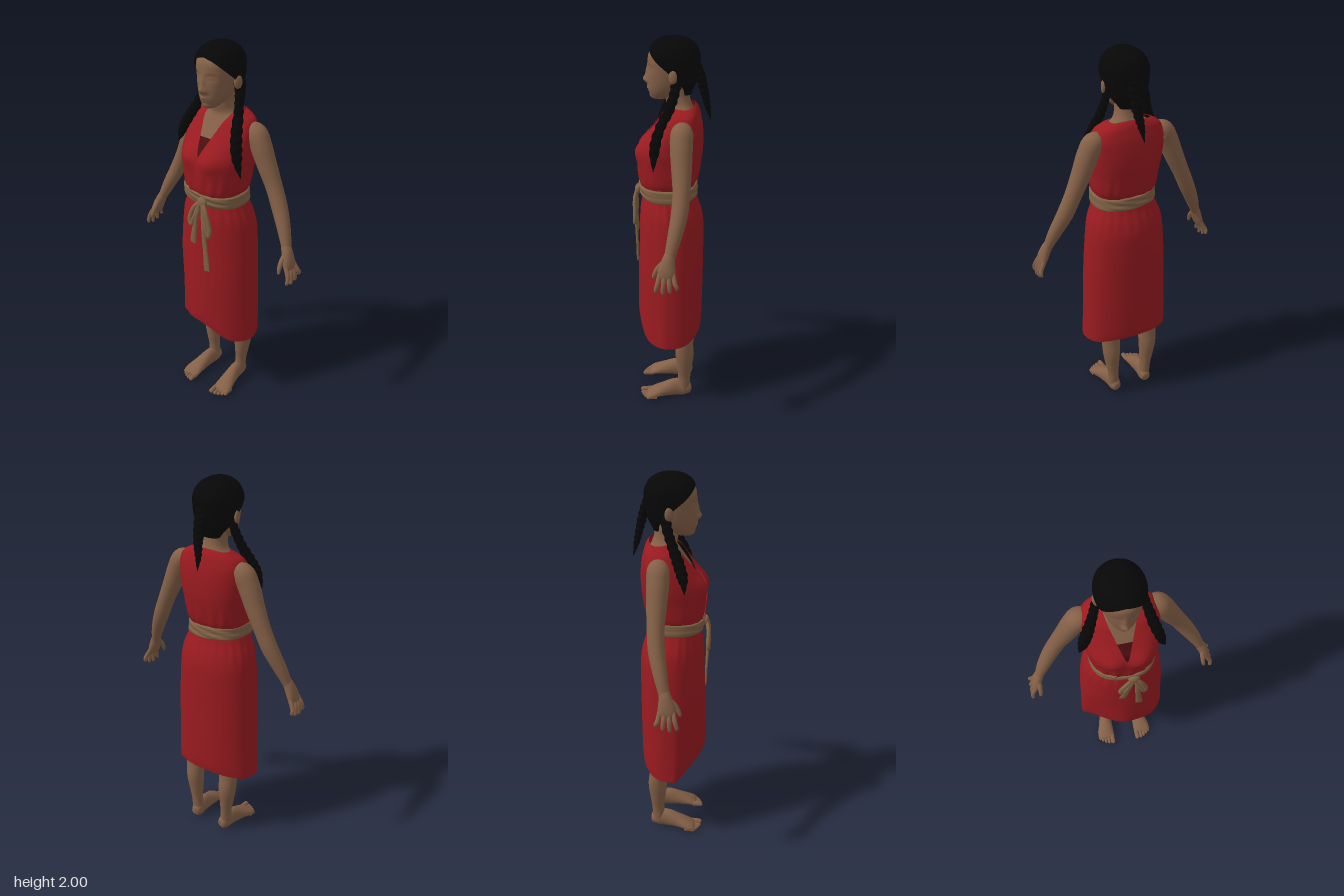
import * as THREE from 'three';
import { ParametricGeometry } from 'three/addons/geometries/ParametricGeometry.js';

const mat = (name, color, side = THREE.FrontSide) => {
  const m = new THREE.MeshStandardMaterial({ color, side });
  m.name = name;
  return m;
};
const skin = mat('skin', 0x846047);
const red = mat('red cloth', 0x9a1b20, THREE.DoubleSide);
const darkRed = mat('dark red cloth', 0x4e0e12, THREE.DoubleSide);
const tan = mat('tan sash', 0x7f6245, THREE.DoubleSide);
const black = mat('black hair', 0x070707, THREE.DoubleSide);

// Smooth interpolation through rows of numbers, t from 0 to 1
function sample(rows, t) {
  const n = rows.length - 1;
  const f = THREE.MathUtils.clamp(t, 0, 1) * n;
  const i = Math.min(Math.floor(f), n - 1), k = f - i;
  const [a, b, c, d] = [rows[Math.max(i - 1, 0)], rows[i], rows[i + 1], rows[Math.min(i + 2, n)]];
  return b.map((_, j) => b[j] + 0.5 * k * (c[j] - a[j]
    + k * (2 * a[j] - 5 * b[j] + 4 * c[j] - d[j] + k * (3 * (b[j] - c[j]) + d[j] - a[j]))));
}

// Upright skin from rows of [y, half width, front z, back z], listed bottom to top;
// side, front and back are roundness exponents (1 is an ellipse, less is boxier)
const P = 0.85;
const fullTurn = () => [0, Math.PI * 2];
const pow = (v, p) => Math.sign(v) * Math.abs(v) ** p;
function shell(rows, { range = fullTurn, warp, side = P, front = P, back = P, nu = 48, nv = 40 } = {}) {
  return new ParametricGeometry((u, v, out) => {
    const row = sample(rows, v);
    const [a0, a1] = range(row);
    const a = a0 + (a1 - a0) * u, c = Math.cos(a);
    const [y, rx, zf, zb] = row;
    out.set(rx * pow(Math.sin(a), side), y, (zf + zb) / 2 + (zf - zb) / 2 * pow(c, c > 0 ? front : back));
    if (warp) warp(out, a);
  }, nu, nv);
}

// Tube from rows of [x, y, z, radius along ref, radius across]
const Z = new THREE.Vector3(0, 0, 1), Y = new THREE.Vector3(0, 1, 0);
function limb(rows, { ref = Z, nu = 16, nv = 30, ripple = () => 1 } = {}) {
  const at = (t) => new THREE.Vector3(...sample(rows, t).slice(0, 3));
  return new ParametricGeometry((u, v, out) => {
    const r = sample(rows, v);
    const T = at(v + 0.004).sub(at(v - 0.004)).normalize();
    const N = ref.clone().addScaledVector(T, -ref.dot(T)).normalize();
    const B = T.clone().cross(N);
    const a = u * Math.PI * 2, k = ripple(a, v);
    out.set(r[0], r[1], r[2])
      .addScaledVector(N, Math.cos(a) * r[3] * k)
      .addScaledVector(B, Math.sin(a) * r[4] * k);
  }, nu, nv);
}
const mirror = (rows, s) => rows.map(([x, ...rest]) => [x * s, ...rest]);
const bump = (dx, dy, sx, sy) => Math.exp(-((dx / sx) ** 2) - (dy / sy) ** 2);

export function createModel() {
  const model = new THREE.Group();
  model.name = 'woman';
  const add = (name, geometry, material) => {
    const m = new THREE.Mesh(geometry, material);
    m.name = name;
    model.add(m);
    return m;
  };

  // Neck and upper body
  add('torso', shell([
    [1.30, 0.14, 0.09, -0.10], [1.38, 0.155, 0.115, -0.12], [1.45, 0.165, 0.125, -0.135],
    [1.52, 0.168, 0.1, -0.14], [1.58, 0.16, 0.06, -0.135], [1.625, 0.13, 0.032, -0.12],
    [1.655, 0.075, 0.022, -0.105], [1.70, 0.054, 0.03, -0.09], [1.78, 0.052, 0.035, -0.085],
  ]), skin);

  // Head with brow, eye sockets, nose, lips and chin
  add('head', shell([
    [1.692, 0.006, 0.07, 0.055], [1.697, 0.03, 0.097, 0.02], [1.72, 0.053, 0.108, -0.03],
    [1.75, 0.071, 0.113, -0.07], [1.79, 0.084, 0.116, -0.1], [1.84, 0.094, 0.117, -0.12],
    [1.88, 0.098, 0.117, -0.125], [1.92, 0.097, 0.11, -0.122], [1.96, 0.07, 0.075, -0.09], [1.985, 0.01, 0.01, -0.02],
  ], {
    nu: 96, nv: 90, side: 0.95, front: 0.92, back: 0.95,
    warp: (p, a) => {
      if (Math.cos(a) < 0) return;
      const x = Math.abs(p.x), y = p.y;
      p.z += 0.022 * bump(x, y - 1.79, 0.018, 0.019) + 0.011 * bump(x, y - 1.825, 0.014, 0.032)
        + 0.006 * bump(x - 0.016, y - 1.783, 0.01, 0.011)
        - 0.007 * bump(x - 0.038, y - 1.852, 0.024, 0.016) + 0.004 * bump(x - 0.038, y - 1.85, 0.015, 0.009)
        + 0.01 * bump(x, y - 1.748, 0.026, 0.016)
        - 0.003 * bump(x, y - 1.742, 0.026, 0.003) + 0.004 * bump(x, y - 1.71, 0.022, 0.01);
    },
  }), skin);

  // Hair cap, arched around the face
  add('hair', shell([
    [1.72, 0.05, -0.02, -0.095], [1.75, 0.072, 0.01, -0.108], [1.78, 0.094, 0.05, -0.122], [1.83, 0.109, 0.09, -0.134],
    [1.88, 0.116, 0.12, -0.139], [1.92, 0.113, 0.118, -0.136], [1.96, 0.092, 0.097, -0.114],
    [1.985, 0.06, 0.064, -0.079], [1.996, 0.03, 0.03, -0.045], [2.0, 0.0005, -0.007, -0.008],
  ], {
    nu: 64, nv: 70, side: 0.95, front: 0.95, back: 0.95,
    range: ([y]) => {
      const k = THREE.MathUtils.clamp((1.94 - y) / 0.18, 0, 1);
      const a = 1.75 * Math.sqrt(k);
      return [a, Math.PI * 2 - a];
    },
  }), black);

  // Braids: one behind, one over each shoulder
  const braid = (name, rows) => add(name, limb(rows, {
    nu: 18, nv: 110,
    ripple: (a, t) => 1 + 0.09 * Math.cos(t * 75 + 2.4 * Math.abs(Math.sin(a))),
  }), black);
  braid('backBraid', [[0.01, 1.9, -0.105, 0.02, 0.03], [0.01, 1.82, -0.135, 0.024, 0.031],
    [0.005, 1.73, -0.16, 0.02, 0.025], [-0.008, 1.65, -0.178, 0.014, 0.016], [-0.015, 1.585, -0.195, 0.001, 0.001]]);
  braid('rightBraid', [[-0.09, 1.83, -0.025, 0.025, 0.012], [-0.107, 1.76, -0.022, 0.024, 0.019],
    [-0.13, 1.68, 0.004, 0.024, 0.022], [-0.16, 1.6, 0.036, 0.028, 0.028], [-0.188, 1.53, 0.06, 0.024, 0.024], [-0.212, 1.46, 0.07, 0.001, 0.001]]);
  braid('leftBraid', [[0.09, 1.83, -0.025, 0.025, 0.012], [0.107, 1.76, -0.022, 0.024, 0.019],
    [0.124, 1.68, 0.002, 0.024, 0.022], [0.148, 1.58, 0.046, 0.028, 0.028], [0.174, 1.48, 0.074, 0.026, 0.026], [0.205, 1.38, 0.08, 0.001, 0.001]]);

  // Undershirt showing in the neckline
  add('undershirt', shell([[1.38, 0.162, 0.13, -0.12], [1.45, 0.172, 0.138, -0.135], [1.5, 0.174, 0.118, -0.14], [1.545, 0.172, 0.1, -0.14]],
    { range: () => [-0.24, 0.24], nu: 12, nv: 12 }), darkRed);

  // Wrapped bodice: two halves whose front edges cross, the left one on top
  const bodiceRows = [
    [1.235, 0.148, 0.14, -0.112], [1.265, 0.158, 0.155, -0.122], [1.3, 0.168, 0.163, -0.135],
    [1.38, 0.177, 0.167, -0.15], [1.45, 0.187, 0.157, -0.158], [1.52, 0.19, 0.118, -0.158],
    [1.58, 0.185, 0.075, -0.152], [1.625, 0.164, 0.042, -0.14], [1.648, 0.13, 0.01, -0.128], [1.662, 0.102, -0.015, -0.115],
  ];
  for (const s of [1, -1]) {
    add(s > 0 ? 'bodiceLeft' : 'bodiceRight', shell(bodiceRows, {
      nu: 64, nv: 60, back: 0.72,
      range: ([y, rx]) => {
        const x = 0.076 - (1.66 - y) * 0.36;
        const a = Math.sign(x) * Math.asin(Math.min(1, (Math.abs(x) / rx) ** (1 / P)));
        return s > 0 ? [a, Math.PI] : [-Math.PI, -a];
      },
      warp: (p, a) => {
        const fold = Math.max(0, 1 - Math.abs(p.y - 1.31) / 0.09);
        p.z *= 1 + 0.02 * fold * Math.sin(a * 17);
        if (Math.cos(a) > 0) {
          p.z += 0.022 * bump(Math.abs(p.x) - 0.075, p.y - 1.45, 0.06, 0.06);
          if (s > 0) p.z += 0.006;
        } else {
          p.y += 0.012 * Math.cos(a) ** 2 * THREE.MathUtils.smoothstep(p.y, 1.6, 1.66);
        }
      },
    }), red);
  }

  // Skirt with a hem raised at the front
  add('skirt', shell([
    [0.39, 0.24, 0.175, -0.158], [0.45, 0.238, 0.18, -0.164], [0.6, 0.232, 0.18, -0.167],
    [0.8, 0.226, 0.176, -0.168], [0.95, 0.217, 0.17, -0.168], [1.05, 0.208, 0.167, -0.165],
    [1.12, 0.195, 0.162, -0.15], [1.18, 0.172, 0.152, -0.128], [1.24, 0.15, 0.14, -0.112],
  ], {
    nu: 96, nv: 50, side: 1, front: 1.08, back: 0.82,
    warp: (p, a) => {
      const c = Math.cos(a), low = Math.max(0, 1 - (p.y - 0.39) / 0.5);
      const fold = 1 + 0.006 * Math.sin(a * 9 + 1) * low + 0.008 * Math.sin(a * 22) * bump(0, p.y - 1.15, 1, 0.07);
      p.x *= fold;
      p.z *= fold;
      // the right front corner hangs closer to the leg
      if (c > 0 && p.x < 0) p.z -= 0.05 * low * Math.sin(2 * a) ** 2;
      p.y += low * (c > 0 ? 0.1 * c ** 5 : 0.03 * c * c);
    },
  }), red);

  // Sash, knot and hanging ends
  add('sash', shell([
    [1.2, 0.155, 0.14, -0.12], [1.206, 0.167, 0.156, -0.132], [1.222, 0.169, 0.164, -0.134], [1.235, 0.167, 0.165, -0.132],
    [1.25, 0.167, 0.167, -0.132], [1.265, 0.165, 0.167, -0.13], [1.272, 0.15, 0.145, -0.115],
  ], {
    nu: 96, nv: 24,
    warp: (p, a) => {
      p.y -= 0.06 * p.x;
      p.z *= 1 + 0.012 * Math.sin(a * 6 + p.y * 200);
    },
  }), tan);
  const ribbon = (name, rows) => add(name, limb(rows, { nu: 12, nv: 32 }), tan);
  const knot = add('sashKnot', new THREE.SphereGeometry(0.03, 20, 14), tan);
  knot.scale.set(1, 0.9, 0.6);
  knot.position.set(0.035, 1.23, 0.17);
  ribbon('sashLongEnd', [[0.04, 1.23, 0.175, 0.006, 0.012], [0.055, 1.16, 0.183, 0.01, 0.018],
    [0.055, 1.05, 0.182, 0.008, 0.014], [0.062, 0.94, 0.178, 0.007, 0.016], [0.067, 0.85, 0.176, 0.006, 0.02], [0.067, 0.842, 0.176, 0.001, 0.018]]);
  ribbon('sashShortEnd', [[0.03, 1.23, 0.175, 0.006, 0.012], [0.01, 1.17, 0.185, 0.01, 0.016],
    [-0.005, 1.08, 0.184, 0.008, 0.015], [-0.022, 0.99, 0.18, 0.006, 0.02], [-0.024, 0.98, 0.18, 0.001, 0.018]]);
  ribbon('sashRightLoop', [[0.03, 1.235, 0.175, 0.006, 0.01], [-0.01, 1.19, 0.186, 0.01, 0.012], [-0.035, 1.12, 0.186, 0.011, 0.014],
    [-0.025, 1.095, 0.188, 0.01, 0.012], [-0.005, 1.14, 0.19, 0.008, 0.01], [0.03, 1.225, 0.182, 0.006, 0.008]]);
  ribbon('sashLeftLoop', [[0.04, 1.235, 0.175, 0.006, 0.01], [0.07, 1.19, 0.186, 0.01, 0.012], [0.093, 1.1, 0.184, 0.011, 0.014],
    [0.085, 1.06, 0.186, 0.01, 0.013], [0.07, 1.12, 0.19, 0.008, 0.01], [0.04, 1.225, 0.182, 0.006, 0.008]]);

  for (const s of [1, -1]) {
    const label = s > 0 ? 'left' : 'right';
    const part = (name, rows, options) => add(label + name, limb(mirror(rows, s), options), skin);

    const ear = add(label + 'Ear', new THREE.SphereGeometry(0.03, 16, 12), skin);
    ear.scale.set(0.4, 1.15, 0.75);
    ear.position.set(s * 0.109, 1.82, -0.01);
    ear.rotation.y = s * -0.35;

    // Arm, palm, fingers and thumb
    part('Arm', [[0.13, 1.575, -0.06, 0.035, 0.03], [0.183, 1.57, -0.058, 0.054, 0.053], [0.217, 1.515, -0.057, 0.055, 0.054],
      [0.257, 1.42, -0.06, 0.05, 0.049], [0.302, 1.32, -0.062, 0.043, 0.043], [0.347, 1.22, -0.055, 0.041, 0.041],
      [0.393, 1.125, -0.035, 0.035, 0.034], [0.425, 1.05, -0.017, 0.028, 0.025], [0.435, 1.02, -0.01, 0.026, 0.02]], { nu: 24, nv: 48 });
    part('Palm', [[0.42, 1.06, -0.018, 0.024, 0.022], [0.439, 1.02, -0.008, 0.032, 0.026], [0.458, 0.97, 0, 0.043, 0.023],
      [0.468, 0.938, 0, 0.038, 0.016], [0.471, 0.928, 0, 0.02, 0.003]]);
    for (let i = 0; i < 4; i++) {
      const z = -0.033 + 0.022 * i, tip = [0.885, 0.867, 0.86, 0.87][i];
      part('Finger' + (i + 1), [[0.462, 0.96, z, 0.011, 0.012], [0.484, 0.92, z * 1.25, 0.0115, 0.012],
        [0.489, tip + 0.02, z * 1.5, 0.01, 0.01], [0.486, tip + 0.005, z * 1.55, 0.007, 0.007], [0.485, tip, z * 1.55, 0.001, 0.001]], { nu: 10, nv: 16 });
    }
    part('Thumb', [[0.44, 1.01, 0.015, 0.014, 0.014], [0.44, 0.98, 0.042, 0.013, 0.013], [0.442, 0.95, 0.058, 0.011, 0.011],
      [0.445, 0.93, 0.065, 0.007, 0.007], [0.446, 0.925, 0.066, 0.001, 0.001]], { nu: 10, nv: 16 });

    // Leg, foot and toes
    part('Leg', [[0.098, 0.04, -0.07, 0.036, 0.032], [0.103, 0.13, -0.076, 0.034, 0.03], [0.108, 0.2, -0.076, 0.042, 0.038],
      [0.113, 0.29, -0.077, 0.051, 0.048], [0.114, 0.38, -0.072, 0.047, 0.052], [0.11, 0.5, -0.06, 0.055, 0.056],
      [0.1, 0.8, -0.03, 0.075, 0.075], [0.09, 1.05, -0.01, 0.08, 0.08]], { nu: 24, nv: 40 });
    part('Foot', [[0.094, 0.035, -0.116, 0.0005, 0.0005], [0.095, 0.037, -0.108, 0.026, 0.023], [0.096, 0.046, -0.08, 0.046, 0.032],
      [0.1, 0.053, -0.03, 0.053, 0.033], [0.107, 0.04, 0.035, 0.04, 0.041], [0.115, 0.025, 0.093, 0.025, 0.05],
      [0.117, 0.015, 0.125, 0.014, 0.047], [0.117, 0.012, 0.135, 0.001, 0.03]], { ref: Y, nu: 24, nv: 40 });
    for (let i = 0; i < 5; i++) {
      const x = [0.08, 0.104, 0.123, 0.141, 0.157][i], z = [0.174, 0.17, 0.162, 0.15, 0.136][i], r = i ? 0.0095 : 0.014;
      part('Toe' + (i + 1), [[x - 0.002, r + 0.003, z - 0.06, r, r], [x, r + 0.002, z - 0.025, r, r],
        [x, r, z - 0.008, r * 0.9, r * 0.9], [x, r, z, 0.001, 0.001]], { ref: Y, nu: 10, nv: 14 });
    }
  }
  return model;
}
